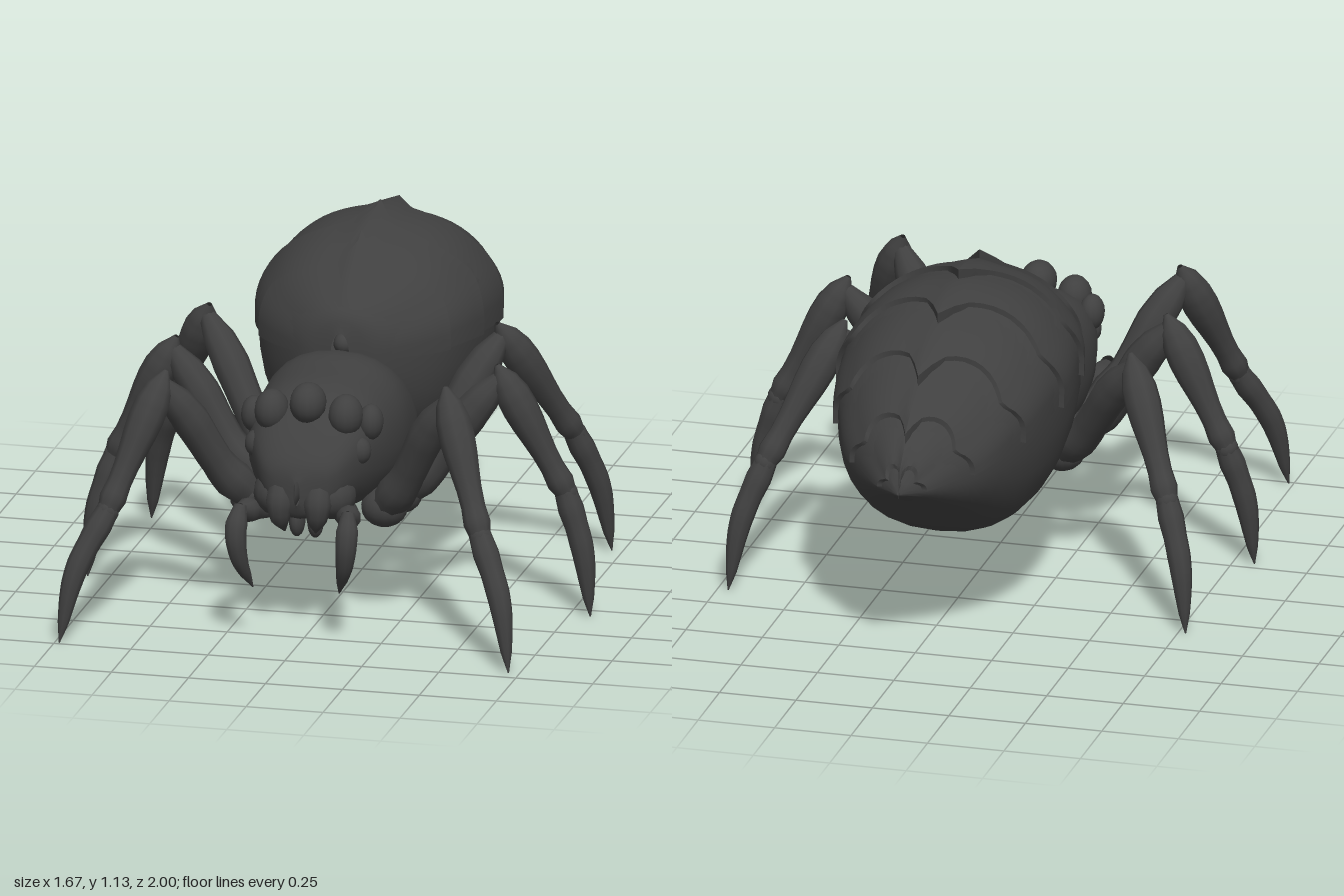
import * as THREE from 'three';
import { mergeVertices, toCreasedNormals } from 'three/addons/utils/BufferGeometryUtils.js';

const CX = -0.015; // centre line of the body
const V = (p) => new THREE.Vector3(...p);

// surface from a rule f(u, v) -> [x, y, z], u and v running from 0 to 1
function grid(nu, nv, f, crease = 0.7) {
  const pos = [], index = [];
  for (let i = 0; i <= nu; i++) for (let j = 0; j <= nv; j++) pos.push(...f(i / nu, j / nv, i));
  for (let i = 0; i < nu; i++) for (let j = 0; j < nv; j++) {
    const a = i * (nv + 1) + j, b = a + nv + 1;
    index.push(a, b, a + 1, b, b + 1, a + 1);
  }
  const g = new THREE.BufferGeometry();
  g.setAttribute('position', new THREE.Float32BufferAttribute(pos, 3));
  g.setIndex(index);
  return toCreasedNormals(g, crease);
}

// cross-sections [z, top, bottom, half width, height of widest line], front to back;
// a power below 1 makes the upper or lower half boxier
function sections(rows, upper, lower) {
  const a = new THREE.CatmullRomCurve3(rows.map((r) => V([r[0], r[1], r[2]])), false, 'catmullrom', 0.5);
  const b = new THREE.CatmullRomCurve3(rows.map((r) => V([r[0], r[3], r[4]])), false, 'catmullrom', 0.5);
  return (t, angle, lift = 0) => {
    const p = a.getPoint(t), q = b.getPoint(t);
    const c = Math.cos(angle), s = Math.sin(angle);
    const power = s > 0 ? upper : lower;
    const sx = Math.sign(c) * Math.abs(c) ** power, sy = Math.sign(s) * Math.abs(s) ** power;
    const h = s > 0 ? p.y - q.z : q.z - p.z;
    return [CX + (q.y + lift) * sx, q.z + (h + lift) * sy, p.x];
  };
}

const abdomenAt = sections([
  [0.23, 0.85, 0.72, 0.03, 0.78],
  [0.20, 0.92, 0.58, 0.14, 0.79],
  [0.08, 1.00, 0.45, 0.27, 0.80],
  [-0.07, 1.065, 0.38, 0.34, 0.81],
  [-0.30, 1.085, 0.315, 0.365, 0.80],
  [-0.54, 1.025, 0.34, 0.33, 0.77],
  [-0.77, 0.90, 0.485, 0.24, 0.70],
  [-0.92, 0.76, 0.585, 0.11, 0.65],
  [-1.0, 0.64, 0.63, 0.004, 0.635],
], 1.03, 0.8);

const thoraxAt = sections([
  [0.79, 0.53, 0.45, 0.01, 0.49],
  [0.76, 0.60, 0.40, 0.11, 0.54],
  [0.66, 0.71, 0.38, 0.18, 0.59],
  [0.54, 0.77, 0.36, 0.22, 0.57],
  [0.40, 0.79, 0.345, 0.24, 0.55],
  [0.25, 0.80, 0.33, 0.24, 0.55],
  [0.10, 0.72, 0.32, 0.22, 0.50],
  [-0.02, 0.60, 0.36, 0.12, 0.46],
  [-0.08, 0.47, 0.43, 0.01, 0.45],
], 0.85, 0.9);

// overlapping back plate with a central keel and a pointed, scalloped rear edge
function plate(from, to) {
  const rows = 9;
  return grid(rows, 32, (u, v, i) => {
    const angle = -0.06 + v * (Math.PI + 0.12);
    const keel = Math.exp(-(((angle - Math.PI / 2) / 0.11) ** 2));
    const scallop = Math.abs(Math.cos(angle * 3));
    const k = Math.min(1, i / (rows - 1));
    const t = from + (to - from) * k + k * (0.4 * keel - 0.2 * scallop);
    const lift = i === rows ? -0.03 : -0.012 + k * 0.024 + 0.036 * keel * k + 0.004 * scallop;
    return abdomenAt(Math.min(t, 8) / 8, angle, t > 7.9 ? Math.min(lift, 0.004) : lift);
  });
}

// round limb of changing thickness along a smooth path
function limb(points, radii, sides = 10) {
  const n = (radii.length - 1) * 3;
  const curve = new THREE.CatmullRomCurve3(points.map(V));
  const g = new THREE.TubeGeometry(curve, n, 1, sides, false);
  const pos = g.attributes.position, v = new THREE.Vector3();
  for (let i = 0; i <= n; i++) {
    const c = curve.getPointAt(i / n), k = Math.floor(i / 3), f = i / 3 - k;
    const r = radii[k] + ((radii[k + 1] ?? 0) - radii[k]) * f;
    for (let j = 0; j <= sides; j++) {
      const id = i * (sides + 1) + j;
      v.fromBufferAttribute(pos, id).sub(c).multiplyScalar(r).add(c);
      pos.setXYZ(id, v.x, v.y, v.z);
    }
  }
  g.deleteAttribute('uv');
  g.deleteAttribute('normal');
  const m = mergeVertices(g, 1e-5);
  m.computeVertexNormals();
  return m;
}

const mix = (a, b, t) => a.map((x, i) => x + (b[i] - x) * t);

export function createModel() {
  const model = new THREE.Group();
  const shell = new THREE.MeshStandardMaterial({ color: 0x404040, side: THREE.DoubleSide });
  shell.name = 'charcoal shell';

  const add = (name, geo, parent = model) => {
    const m = new THREE.Mesh(geo, shell);
    m.name = name;
    parent.add(m);
    return m;
  };
  const ball = (name, p, r, parent) => {
    const m = add(name, new THREE.SphereGeometry(1, 14, 10), parent);
    m.position.set(...p);
    m.scale.set(...r);
    return m;
  };

  // body
  add('abdomen', grid(32, 32, (u, v) => abdomenAt(u, v * Math.PI * 2), 1.2));
  add('thorax', grid(28, 28, (u, v) => thoraxAt(u, v * Math.PI * 2), 1.2));
  const plates = new THREE.Group();
  plates.name = 'backPlates';
  model.add(plates);
  [[0.6, 2.5], [1.8, 3.6], [3.1, 4.6], [4.2, 5.6], [5.2, 6.6], [6.2, 7.6]].forEach(([a, b]) => add('backPlate', plate(a, b), plates));
  ball('waistKnob', [CX, 0.80, 0.17], [0.035, 0.035, 0.04]);

  // eyes
  ball('middleEye', [CX, 0.745, 0.64], [0.058, 0.066, 0.07]);
  for (const s of [1, -1]) {
    ball('innerEye', [CX + s * 0.12, 0.71, 0.63], [0.055, 0.068, 0.065]);
    ball('outerEye', [CX + s * 0.19, 0.68, 0.585], [0.04, 0.058, 0.05]);
    ball('lowerEye', [CX + s * 0.165, 0.60, 0.64], [0.04, 0.045, 0.04]);
    ball('cheek', [CX + s * 0.09, 0.46, 0.68], [0.075, 0.075, 0.085]);

    // jaws and feelers
    add('jaw', limb([[CX + s * 0.055, 0.53, 0.70], [CX + s * 0.06, 0.47, 0.755], [CX + s * 0.06, 0.41, 0.765], [CX + s * 0.05, 0.35, 0.74]],
      [0.02, 0.042, 0.046, 0.032, 0.003]));
    const x = CX * 1.5;
    add('feelerBase', limb([[x + s * 0.10, 0.40, 0.60], [x + s * 0.15, 0.40, 0.69], [x + s * 0.175, 0.42, 0.79]], [0.03, 0.042, 0.036, 0.04, 0.025]));
    add('feelerClaw', limb([[x + s * 0.175, 0.44, 0.79], [x + s * 0.18, 0.36, 0.83], [x + s * 0.17, 0.27, 0.82], [x + s * 0.14, 0.165, 0.765]],
      [0.02, 0.036, 0.034, 0.028, 0.018, 0.002]));
    ball('mouthTooth', [CX + s * 0.03, 0.36, 0.66], [0.025, 0.05, 0.04]);
  }

  // legs: hip, knee, ankle, foot
  const legs = {
    frontLeftLeg: [[0.20, 0.38, 0.51], [0.45, 0.80, 0.68], [0.595, 0.41, 0.84], [0.715, 0.005, 0.955]],
    middleLeftLeg: [[0.21, 0.38, 0.36], [0.54, 0.78, 0.33], [0.74, 0.40, 0.30], [0.82, 0.005, 0.315]],
    backLeftLeg: [[0.19, 0.38, 0.14], [0.44, 0.79, -0.08], [0.62, 0.41, -0.29], [0.715, 0.005, -0.38]],
    frontRightLeg: [[-0.23, 0.38, 0.50], [-0.48, 0.79, 0.69], [-0.61, 0.41, 0.86], [-0.735, 0.005, 0.99]],
    middleRightLeg: [[-0.24, 0.38, 0.34], [-0.55, 0.78, 0.28], [-0.74, 0.40, 0.25], [-0.82, 0.005, 0.285]],
    backRightLeg: [[-0.23, 0.38, 0.14], [-0.53, 0.78, -0.09], [-0.69, 0.41, -0.27], [-0.775, 0.005, -0.36]],
  };
  for (const [name, [hip, knee, ankle, foot]] of Object.entries(legs)) {
    const leg = new THREE.Group();
    leg.name = name;
    model.add(leg);
    ball('hip', hip, [0.075, 0.065, 0.065], leg);
    // thigh leaves the hip outward before rising to the knee
    const low = mix(hip, knee, 0.3);
    low[1] -= 0.03;
    add('thigh', limb([hip, low, mix(hip, knee, 0.7), knee], [0.05, 0.064, 0.054, 0.056, 0.06, 0.052, 0.025], 9), leg);
    // shin starts in a rounded knee and flares at the ankle
    add('shin', limb([mix(knee, ankle, -0.1), mix(knee, ankle, 0.5), mix(knee, ankle, 1.03)],
      [0.008, 0.042, 0.056, 0.058, 0.054, 0.047, 0.041, 0.039, 0.044, 0.03], 9), leg);
    ball('ankle', ankle, [0.036, 0.04, 0.036], leg);
    // claw bows outward and ends in a point
    const bow = mix(ankle, foot, 0.45);
    bow[0] += (foot[0] - ankle[0]) * 0.22;
    bow[2] += (foot[2] - ankle[2]) * 0.18;
    add('claw', limb([mix(knee, ankle, 0.98), bow, foot], [0.036, 0.042, 0.038, 0.038, 0.034, 0.027, 0.018, 0.002], 9), leg);
  }
  return model;
}
